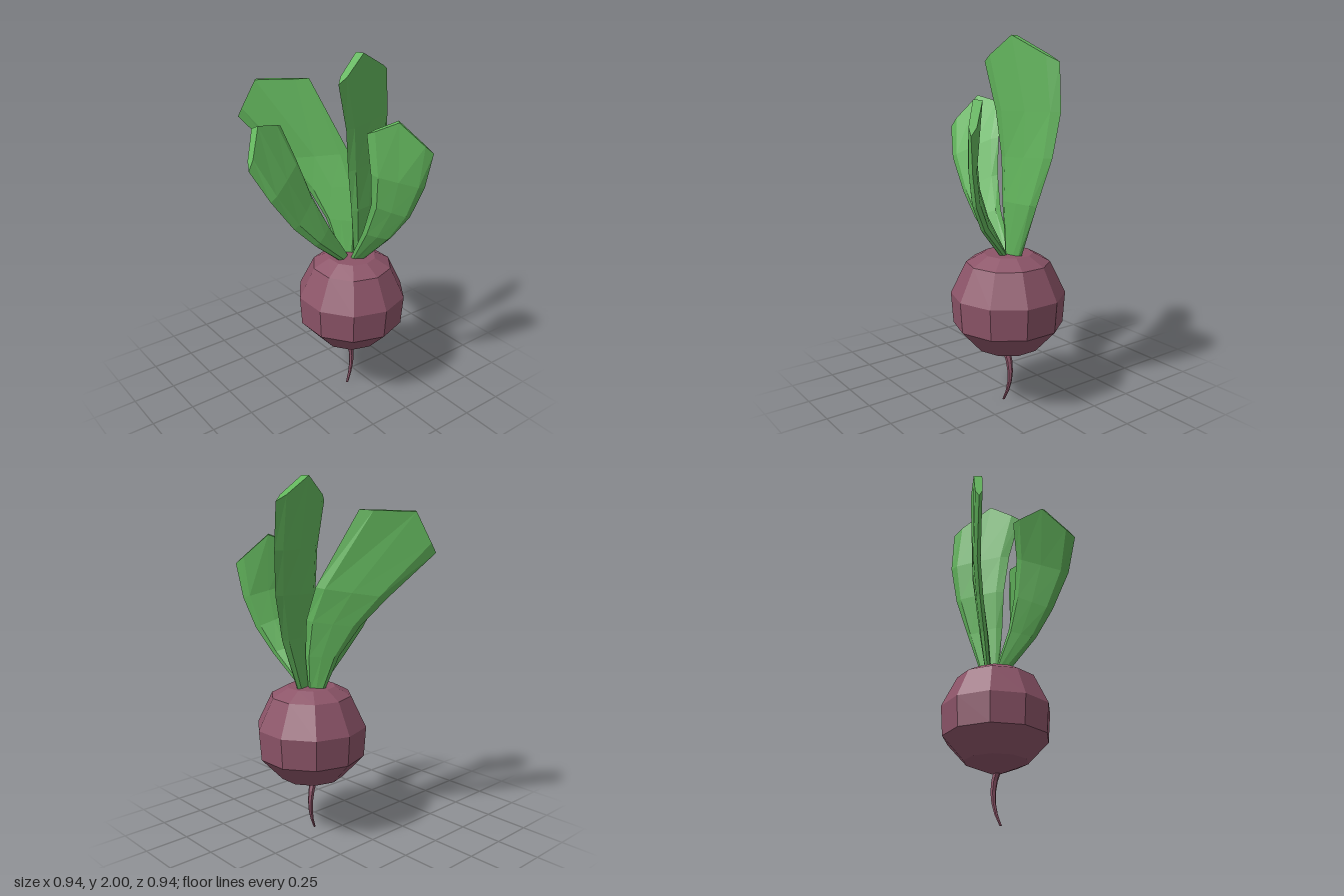
import * as THREE from 'three';

const leafMaterial = new THREE.MeshStandardMaterial({ color: 0x62b55c, flatShading: true });
const rootMaterial = new THREE.MeshStandardMaterial({ color: 0x8c5468, flatShading: true });
const CX = 0.09, CZ = -0.155; // axis of the bulb

// Each leaf: left edge and right edge from base to shoulder, then the tip point
const LEAVES = {
  sideLeafRight: {
    left: [[0, 0.84, -0.14], [-0.08, 1.05, -0.1], [-0.18, 1.22, -0.04], [-0.3, 1.38, 0.05], [-0.47, 1.61, 0.22]],
    right: [[0.07, 0.84, -0.19], [0.06, 1.05, -0.22], [0.03, 1.25, -0.235], [-0.03, 1.43, -0.22], [-0.21, 1.83, -0.08]],
    tip: [-0.4, 1.82, 0.14],
  },
  sideLeafLeft: {
    left: [[0.1, 0.84, -0.13], [0.22, 1.07, -0.125], [0.28, 1.25, -0.125], [0.285, 1.42, -0.11], [0.25, 1.63, -0.105]],
    right: [[0.13, 0.84, -0.19], [0.31, 1.03, -0.25], [0.395, 1.17, -0.3], [0.445, 1.34, -0.345], [0.47, 1.53, -0.37]],
    tip: [0.34, 1.69, -0.24],
  },
  frontLeaf: {
    left: [[0.06, 0.84, -0.15], [0.04, 1.07, -0.02], [0, 1.25, 0.06], [-0.05, 1.45, 0.12], [-0.13, 1.63, 0.165]],
    right: [[0.1, 0.84, -0.09], [0.115, 1.01, 0.12], [0.105, 1.14, 0.25], [0.09, 1.32, 0.38], [0.04, 1.49, 0.47]],
    tip: [-0.085, 1.665, 0.35],
  },
  backLeaf: {
    left: [[0.11, 0.84, -0.16], [0.11, 1.15, -0.13], [0.1, 1.38, -0.11], [0.115, 1.62, -0.08], [0.135, 1.87, -0.01]],
    right: [[0.08, 0.84, -0.25], [0.07, 1.15, -0.37], [0.03, 1.4, -0.44], [0, 1.63, -0.465], [0, 1.87, -0.45]],
    tip: [0.08, 2, -0.19],
  },
};

// Thick blade lofted through eight-point sections between two edges
function leafGeometry({ left, right, tip }) {
  const L = left.map(p => new THREE.Vector3(...p));
  const R = right.map(p => new THREE.Vector3(...p));
  const last = L.length - 1;
  const mid = L.map((p, i) => p.clone().lerp(R[i], 0.5));
  const positions = [], index = [];

  L.forEach((l, i) => {
    const r = R[i];
    const along = mid[Math.min(i + 1, last)].clone().sub(mid[Math.max(i - 1, 0)]);
    const n = r.clone().sub(l).cross(along).normalize();
    const m = i === last ? new THREE.Vector3(...tip) : mid[i];
    const a = l.clone().lerp(m, 0.25), b = r.clone().lerp(m, 0.25);
    const t = i === 0 ? 0.014 : 0.02;
    const off = (p, d) => p.clone().addScaledVector(n, d);
    const ring = [l, off(a, t), off(m, t * 1.2), off(b, t), r, off(b, -t), off(m, -t * 1.2), off(a, -t)];
    ring.forEach(p => positions.push(p.x, p.y, p.z));
  });

  for (let i = 0; i < last; i++) {
    for (let j = 0; j < 8; j++) {
      const a = i * 8 + j, b = i * 8 + (j + 1) % 8;
      index.push(a, b, b + 8, a, b + 8, a + 8);
    }
  }
  // Bevelled end of the blade
  const cap = [0, 1, 7, 1, 2, 6, 1, 6, 7, 2, 3, 5, 2, 5, 6, 3, 4, 5];
  cap.forEach(k => index.push(last * 8 + k));

  const indexed = new THREE.BufferGeometry();
  indexed.setAttribute('position', new THREE.Float32BufferAttribute(positions, 3));
  indexed.setIndex(index);
  const geometry = indexed.toNonIndexed();
  geometry.computeVertexNormals();
  return geometry;
}

export function createModel() {
  const group = new THREE.Group();
  const add = (name, geometry, material) => {
    const mesh = new THREE.Mesh(geometry, material);
    mesh.name = name;
    group.add(mesh);
    return mesh;
  };

  // Ten-sided bulb
  const profile = [[0, 0.27], [0.02, 0.275], [0.18, 0.34], [0.3, 0.47], [0.312, 0.64], [0.227, 0.815], [0.135, 0.865], [0, 0.866]]
    .map(([r, y]) => new THREE.Vector2(r, y));
  add('bulb', new THREE.LatheGeometry(profile, 10, Math.PI / 2), rootMaterial).position.set(CX, 0, CZ);

  // Tapered tail root, bent along its length
  const tail = new THREE.CylinderGeometry(0.021, 0.007, 0.3, 6, 5).translate(0, 0.15, 0);
  const pos = tail.attributes.position;
  for (let i = 0; i < pos.count; i++) {
    const u = (0.28 - pos.getY(i)) / 0.27;
    pos.setX(i, pos.getX(i) + 0.09 - 0.02 * u + 0.03 * u * u);
    pos.setZ(i, pos.getZ(i) - 0.15 - 0.1 * u + 0.115 * u * u);
  }
  tail.computeVertexNormals();
  add('tailRoot', tail, rootMaterial);

  // Leaves
  for (const [name, leaf] of Object.entries(LEAVES)) add(name, leafGeometry(leaf), leafMaterial);

  return group;
}
